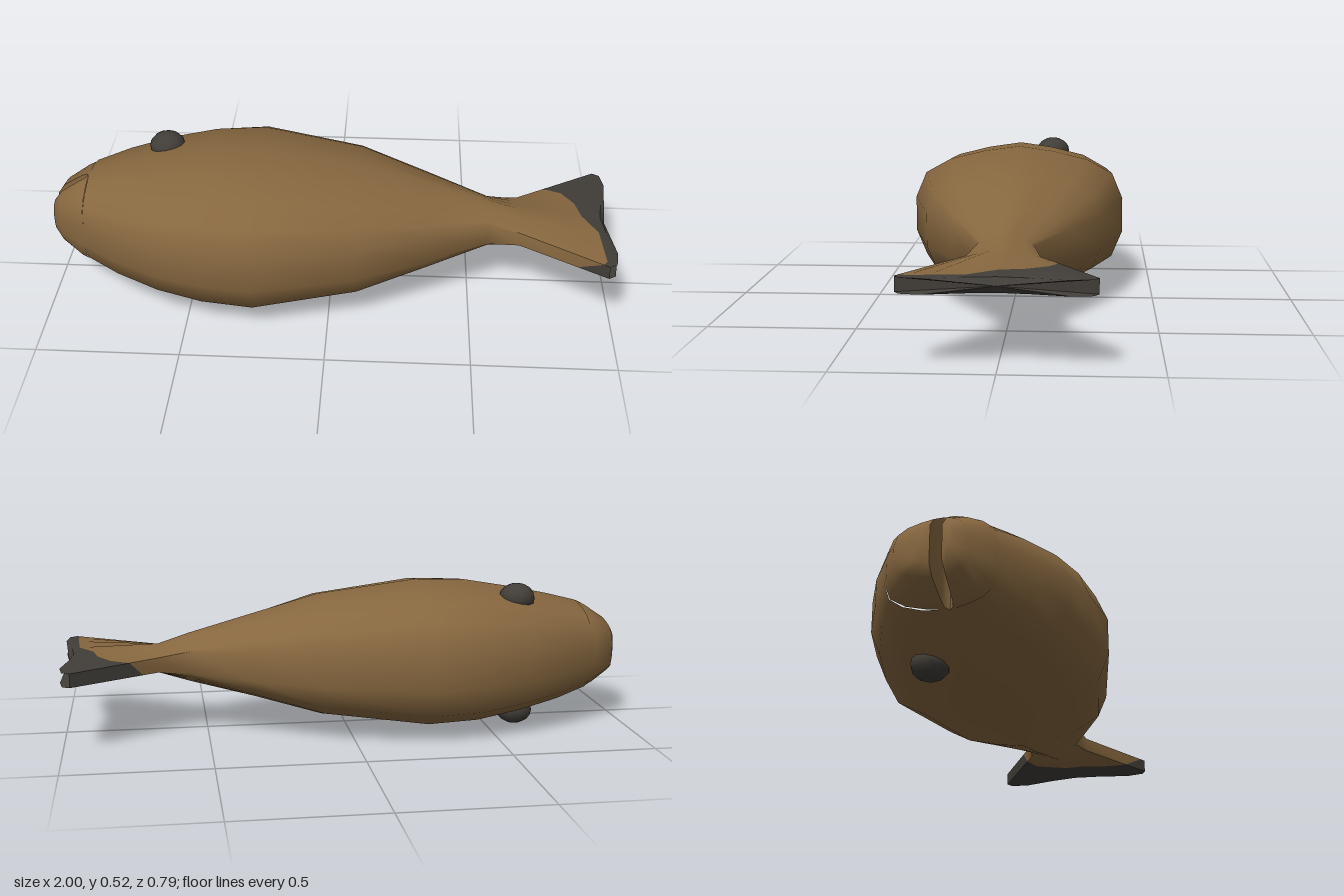
import * as THREE from 'three';
import { toCreasedNormals } from 'three/addons/utils/BufferGeometryUtils.js';

const MID = 0.262; // height of the body's middle plane
const US = [-1, -0.9, -0.66, -0.33, 0, 0.33, 0.66, 0.9, 1];
const FULL = [0.25, 0.61, 0.81, 0.93, 1, 0.93, 0.81, 0.61, 0.25];

// Half-thickness profile: k blends a thin wedge (edge e) into the full body section.
const profile = (i, k, e) => k * FULL[i] + (1 - k) * (1 - (1 - e) * Math.abs(US[i]));

// Closed ring: over the top from -z to +z, then back underneath.
const makeRing = (pts) => [
  ...pts.map(([x, y, z]) => new THREE.Vector3(x, MID + y, z)),
  ...pts.map(([x, y, z]) => new THREE.Vector3(x, MID - y, z)).reverse(),
];

// Full cross-section; m shifts the middle sample to meet the corner of the mouth.
const station = ([x, h, t, k = 1, e = 0.5, m = 0]) =>
  makeRing(US.map((u, i) => [x, t * profile(i, k, e), i === 4 ? m : u * h]));

// Half cross-section on one side of the mouth line.
const jawStation = (side, [x, h, t, lip]) => {
  const ids = side < 0 ? [0, 1, 2, 3, 4] : [4, 5, 6, 7, 8];
  return makeRing(ids.map((i) => [x, t * FULL[i],
    i === 4 ? lip : side * THREE.MathUtils.lerp(side * lip, h, Math.abs(US[i]))]));
};

// Join rings running towards +x, with optional end caps.
function loft(rings, capStart, capEnd, out = []) {
  const tri = (...vs) => vs.forEach((v) => out.push(v.x, v.y, v.z));
  const n = rings[0].length;
  for (let r = 0; r + 1 < rings.length; r++) {
    for (let j = 0; j < n; j++) {
      const k = (j + 1) % n;
      const [a, b, c, d] = [rings[r][j], rings[r][k], rings[r + 1][k], rings[r + 1][j]];
      tri(a, b, c);
      tri(a, c, d);
    }
  }
  const cap = (ring, flip) => {
    const c = ring.reduce((s, p) => s.add(p), new THREE.Vector3()).divideScalar(n);
    ring.forEach((p, j) => {
      const q = ring[(j + 1) % n];
      if (flip) tri(c, q, p); else tri(c, p, q);
    });
  };
  if (capStart) cap(rings[0], true);
  if (capEnd) cap(rings[rings.length - 1], false);
  return out;
}

function toGeometry(positions, crease) {
  const g = new THREE.BufferGeometry();
  g.setAttribute('position', new THREE.Float32BufferAttribute(positions, 3));
  return toCreasedNormals(g, crease);
}

export function createModel() {
  const group = new THREE.Group();
  const brown = new THREE.MeshStandardMaterial({ color: 0x86673f });
  brown.name = 'brown skin';
  const dark = new THREE.MeshStandardMaterial({ color: 0x413d38 });
  dark.name = 'dark grey';

  const add = (name, geometry, material) => {
    const mesh = new THREE.Mesh(geometry, material);
    mesh.name = name;
    group.add(mesh);
    return mesh;
  };

  // Body stations: x, half depth (z), half thickness (y), fullness, wedge edge, middle shift
  const body = [
    [-0.87, 0.185, 0.162, 1, 0.5, 0.03],
    [-0.75, 0.26, 0.196],
    [-0.6, 0.33, 0.227],
    [-0.44, 0.37, 0.255],
    [-0.26, 0.393, 0.261],
    [0.1, 0.31, 0.217, 0.9],
    [0.34, 0.2, 0.15, 0.6],
    [0.56, 0.093, 0.088, 0.2],
    [0.67, 0.115, 0.052, 0],
  ].map(station);

  // Tail: trailing edge, and the uneven line where the dark tip begins
  const endX = [0.965, 0.99, 1, 0.975, 0.963, 0.975, 1, 0.99, 0.965];
  const endZ = [-0.3, -0.285, -0.22, -0.1, 0, 0.1, 0.22, 0.285, 0.3];
  const tailRoot = body[body.length - 1];
  const tailEnd = makeRing(endX.map((x, i) => [x, 0.024, endZ[i]]));
  const tipTop = [0.33, 0.37, 0.5, 0.68, 0.77, 0.91, 0.86, 0.9, 0.93];
  const tipUnder = [0.18, 0.2, 0.3, 0.38, 0.45, 0.48, 0.55, 0.6, 0.66];
  const tipAt = [...tipTop, ...tipUnder.reverse()];
  const tipLine = tailRoot.map((p, i) => p.clone().lerp(tailEnd[i], tipAt[i]));

  const skin = loft([...body, tipLine], false, false);

  // Jaws: x, half depth, half thickness, z of the lip
  const upperJaw = [[-0.995, 0.055, 0.065, 0.002], [-0.97, 0.12, 0.1, 0.004],
    [-0.9, 0.168, 0.147, 0.012], [-0.88, 0.179, 0.157, 0.017], [-0.87, 0.185, 0.162, 0.03]];
  const lowerJaw = [[-1, 0.08, 0.06, 0.042], [-0.97, 0.115, 0.1, 0.046],
    [-0.9, 0.168, 0.147, 0.046], [-0.88, 0.179, 0.157, 0.042], [-0.87, 0.185, 0.162, 0.03]];
  loft(upperJaw.map((s) => jawStation(-1, s)), true, false, skin);
  loft(lowerJaw.map((s) => jawStation(1, s)), true, false, skin);

  add('body', toGeometry(skin, 1), brown);
  add('tailTip', toGeometry(loft([tipLine, tailEnd], false, true), 0.8), dark);

  // Eyes on both flat sides
  for (const [name, side] of [['upperEye', 1], ['lowerEye', -1]]) {
    const eye = add(name, new THREE.SphereGeometry(0.065, 12, 8), dark);
    eye.scale.y = 0.8;
    eye.position.set(-0.605, MID + side * 0.205, -0.12);
  }
  return group;
}
